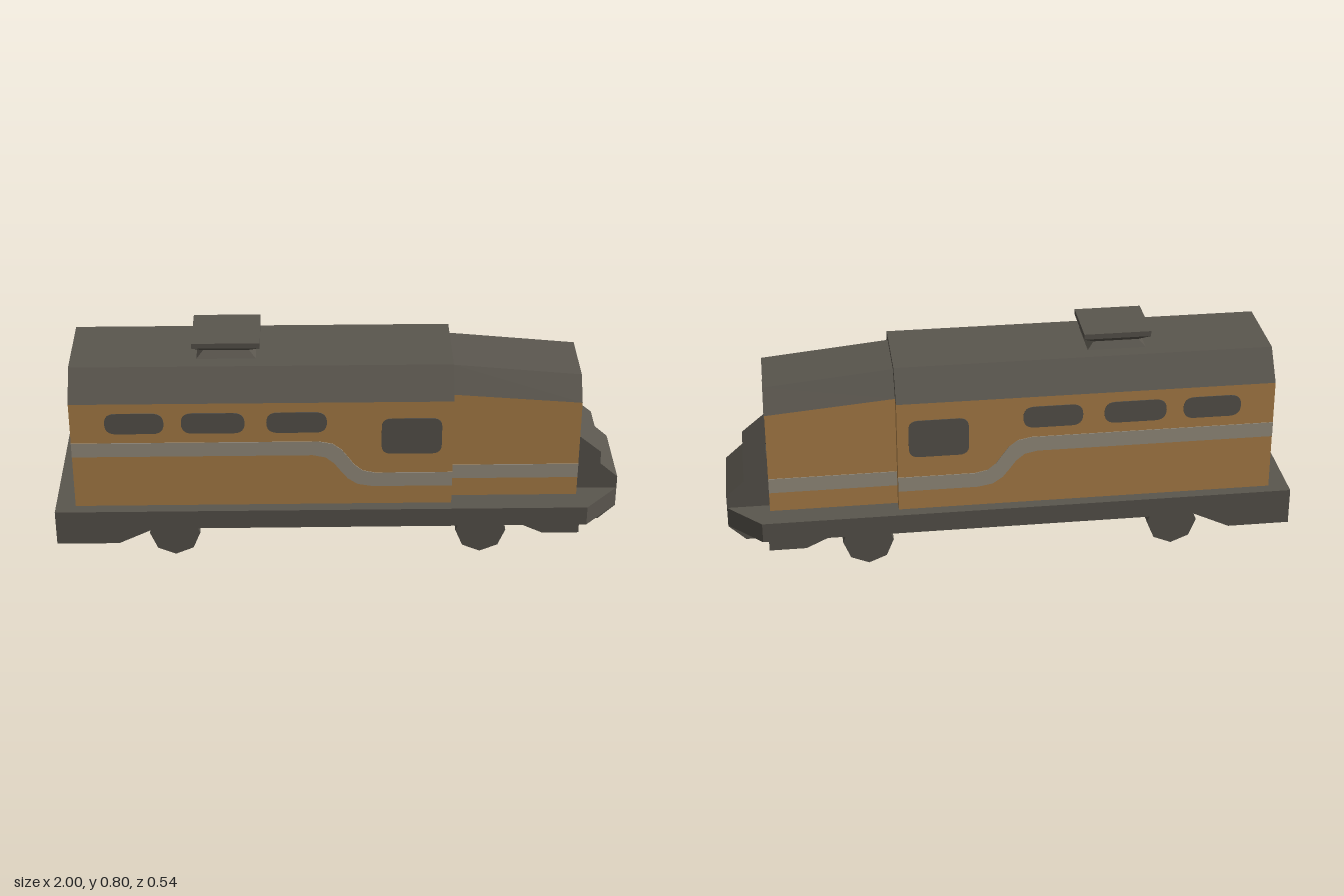
import * as THREE from 'three';

const material = (name, color) => {
  const m = new THREE.MeshStandardMaterial({ color });
  m.name = name;
  return m;
};

// Prism along x between two matching convex [z, y] sections
function loft(x0, s0, x1, s1) {
  const pos = [];
  const n = s0.length;
  const A = i => [x0, s0[i % n][1], s0[i % n][0]];
  const B = i => [x1, s1[i % n][1], s1[i % n][0]];
  for (let i = 0; i < n; i++) {
    pos.push(...A(i), ...A(i + 1), ...B(i + 1), ...A(i), ...B(i + 1), ...B(i));
    if (i > 0 && i < n - 1) pos.push(...B(0), ...B(i), ...B(i + 1), ...A(0), ...A(i + 1), ...A(i));
  }
  const g = new THREE.BufferGeometry();
  g.setAttribute('position', new THREE.Float32BufferAttribute(pos, 3));
  g.computeVertexNormals();
  return g;
}

// Side profile in x, y extruded symmetrically across z
function extrudeAcross(shape, width) {
  const g = new THREE.ExtrudeGeometry(shape, { depth: width, bevelEnabled: false, curveSegments: 6 });
  return g.translate(0, 0, -width / 2);
}
const polygon = pts => new THREE.Shape(pts.map(p => new THREE.Vector2(...p)));

function roundedRect(x0, y0, x1, y1, r) {
  const s = new THREE.Shape();
  s.moveTo(x0 + r, y0).lineTo(x1 - r, y0).quadraticCurveTo(x1, y0, x1, y0 + r);
  s.lineTo(x1, y1 - r).quadraticCurveTo(x1, y1, x1 - r, y1);
  s.lineTo(x0 + r, y1).quadraticCurveTo(x0, y1, x0, y1 - r);
  s.lineTo(x0, y0 + r).quadraticCurveTo(x0, y0, x0 + r, y0);
  return s;
}

export function createModel() {
  const model = new THREE.Group();
  const grey = material('dark grey', 0x5a564e);
  const orange = material('ochre paint', 0xb0834a);
  const silver = material('stripe grey', 0x9c9383);

  const add = (name, geometry, mat) => {
    const mesh = new THREE.Mesh(geometry, mat);
    mesh.name = name;
    model.add(mesh);
    return mesh;
  };
  const wall = (w, top) => [[w, 0.22], [-w, 0.22], [-w, top], [w, top]];
  const roof = (w, eave, wTop, top) => [[w, eave], [-w, eave], [-w, top - 0], [w, top]]
    .map(([z, y], i) => (i < 2 ? [z, y] : [Math.sign(z) * wTop, y]));

  // Main body and its chamfered roof
  const BODY = 0.23, CAB = 0.183;
  add('bodyWalls', loft(-0.93, wall(BODY, 0.635), 0.4, wall(BODY, 0.635)), orange);
  const bodyRoof = roof(BODY, 0.635, 0.15, 0.737);
  add('bodyRoof', loft(-0.93, bodyRoof, 0.4, bodyRoof), grey);

  // Narrower driver cab, sloping down to the front
  add('cabWalls', loft(0.4, wall(CAB, 0.635), 0.85, wall(CAB, 0.598)), orange);
  add('cabRoof', loft(0.4, roof(CAB, 0.635, 0.118, 0.718), 0.85, roof(CAB, 0.598, 0.118, 0.675)), grey);

  // Chassis deck with clipped front corners
  const deck = new THREE.ExtrudeGeometry(polygon([
    [-1, -0.272], [0.88, -0.272], [1, -0.142], [1, 0.142], [0.88, 0.272], [-1, 0.272],
  ]), { depth: 0.072, bevelEnabled: false });
  deck.rotateX(-Math.PI / 2).translate(0, 0.15, 0);
  add('chassisDeck', deck, grey);

  // Under-frame: rear block, front block and the belly between them
  add('rearUnderframe', extrudeAcross(polygon([[-1, 0.09], [-0.78, 0.09], [-0.65, 0.151], [-1, 0.151]]), 0.544), grey);
  add('frontUnderframe', extrudeAcross(polygon([[0.73, 0.09], [0.86, 0.09], [0.86, 0.151], [0.6, 0.151]]), 0.464), grey);
  add('belly', extrudeAcross(polygon([[-0.79, 0.091], [0.74, 0.091], [0.74, 0.151], [-0.79, 0.151]]), 0.28), grey);

  // Stepped nose in front of the cab
  add('nose', extrudeAcross(polygon([
    [0.84, 0.09], [0.94, 0.09], [1, 0.147], [1, 0.268], [0.935, 0.325],
    [0.935, 0.372], [0.85, 0.442], [0.84, 0.442],
  ]), 0.284), grey);

  // Eight-sided wheel rollers
  for (const x of [-0.585, 0.51]) {
    const g = new THREE.CylinderGeometry(0.09, 0.09, 0.42, 8).toNonIndexed();
    g.rotateX(Math.PI / 2);
    g.computeVertexNormals();
    add('wheel', g, grey).position.set(x, 0.09, 0);
  }

  // Roof vent: flared foot, flared neck and flat cap
  const square = (zHalf, y) => [[zHalf, y], [-zHalf, y]];
  const vent = [[0.105, 0.097, 0.735], [0.08, 0.075, 0.76], [0.118, 0.108, 0.784], [0.118, 0.108, 0.803]];
  for (let i = 0; i < 3; i++) {
    const [xa, za, ya] = vent[i], [xb, zb, yb] = vent[i + 1];
    const g = new THREE.BoxGeometry(2, 1, 2).translate(0, 0.5, 0).toNonIndexed();
    const p = g.attributes.position;
    for (let k = 0; k < p.count; k++) {
      const up = p.getY(k) > 0.5;
      p.setXYZ(k, p.getX(k) * (up ? xb : xa) - 0.388, up ? yb : ya, p.getZ(k) * (up ? zb : za));
    }
    g.computeVertexNormals();
    add(['ventFoot', 'ventNeck', 'ventCap'][i], g, grey);
  }

  // Side stripe with its S-curve, and side windows, on both sides
  const stripe = new THREE.Shape();
  stripe.moveTo(-0.93, 0.425).lineTo(-0.09, 0.425);
  stripe.bezierCurveTo(0.02, 0.425, -0.01, 0.295, 0.12, 0.295);
  stripe.lineTo(0.4, 0.295).lineTo(0.4, 0.35).lineTo(0.13, 0.35);
  stripe.bezierCurveTo(0.02, 0.35, 0.05, 0.48, -0.07, 0.48);
  stripe.lineTo(-0.93, 0.48);
  const PLATE = 0.005;
  for (const side of [-1, 1]) {
    const plate = (name, shape, mat, z) => {
      add(name, extrudeAcross(shape, PLATE), mat).position.z = side * z;
    };
    plate('bodyStripe', stripe, silver, BODY);
    plate('cabStripe', polygon([[0.4, 0.295], [0.85, 0.295], [0.85, 0.35], [0.4, 0.35]]), silver, CAB);
    for (const [x0, x1] of [[-0.81, -0.605], [-0.545, -0.325], [-0.25, -0.04]])
      plate('sideWindow', roundedRect(x0, 0.517, x1, 0.598, 0.04), grey, BODY);
    plate('cabWindow', roundedRect(0.15, 0.428, 0.36, 0.57, 0.035), grey, BODY);
  }

  // Window and door plates on the front and rear ends
  for (const x of [-0.93, 0.85]) {
    for (const [name, y0, y1, r] of [['endWindow', 0.467, 0.577, 0.01], ['endDoor', 0.222, 0.442, 0.02]]) {
      const g = extrudeAcross(roundedRect(-0.148, y0, 0.148, y1, r), PLATE).rotateY(Math.PI / 2);
      add(name, g, grey).position.x = x;
    }
  }
  return model;
}
